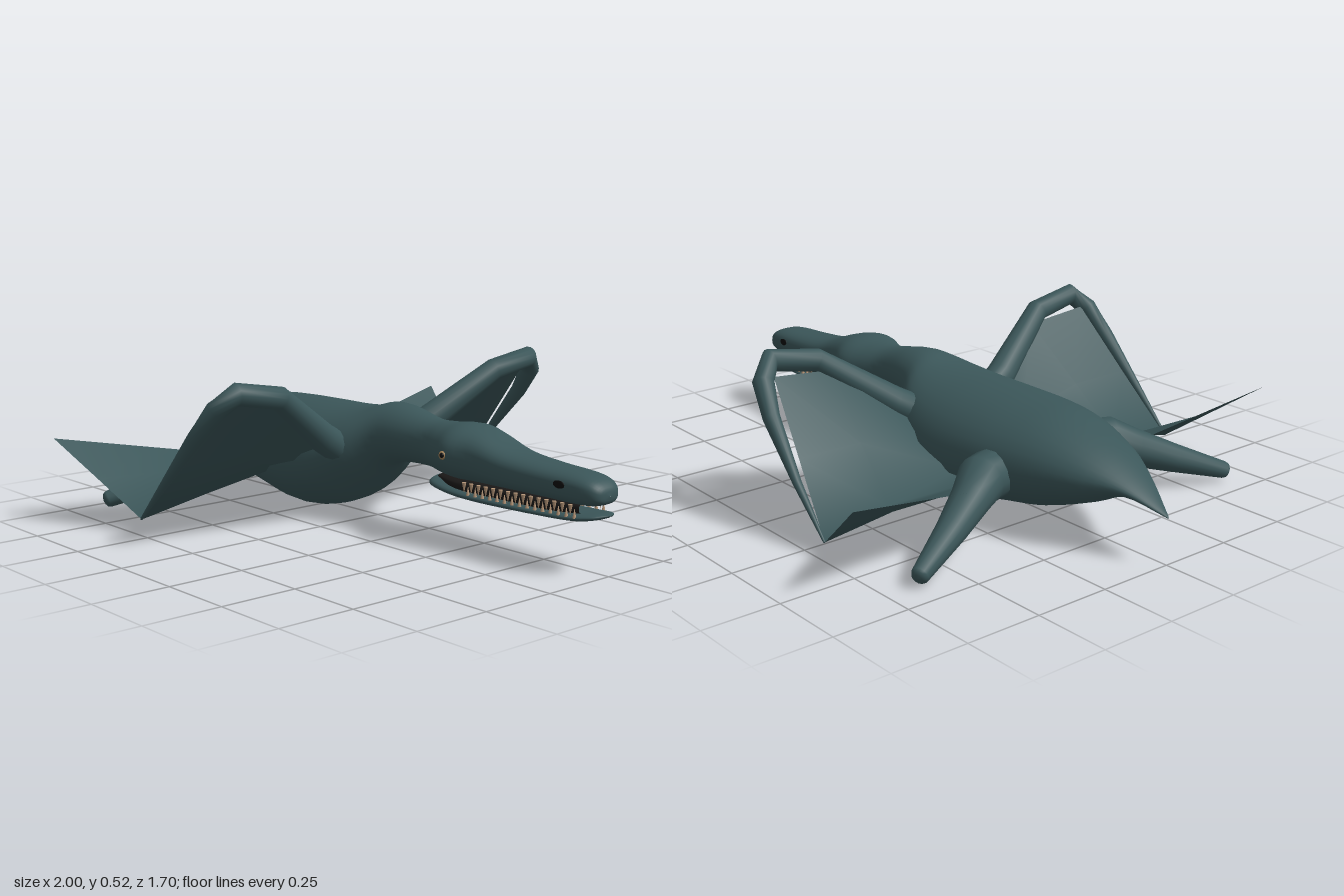
import * as THREE from 'three';

const mat = (name, color, side = THREE.FrontSide) => {
  const m = new THREE.MeshStandardMaterial({ color, side });
  m.name = name;
  return m;
};

// Skin a list of point rows; closed rows wrap round into a tube
function skin(rows, closed) {
  const n = rows[0].length, pos = [], idx = [];
  rows.forEach(r => r.forEach(p => pos.push(p.x, p.y, p.z)));
  for (let i = 0; i < rows.length - 1; i++) {
    for (let j = 0; j < (closed ? n : n - 1); j++) {
      const k = (j + 1) % n, a = i * n + j, b = a + n, c = i * n + k, d = c + n;
      idx.push(a, b, c, b, d, c);
    }
  }
  const g = new THREE.BufferGeometry();
  g.setAttribute('position', new THREE.Float32BufferAttribute(pos, 3));
  g.setIndex(idx);
  g.computeVertexNormals();
  return g;
}

// Loft along x through sections [x, top, bottom, halfWidth]
function loft(sections, steps, power, sides = 28) {
  const curve = f => new THREE.CatmullRomCurve3(sections.map(f), false, 'catmullrom', 0.5);
  const outline = curve(s => new THREE.Vector3(s[0], s[1], s[2]));
  const width = curve(s => new THREE.Vector3(s[3], 0, 0));
  const bend = (v, p) => Math.sign(v) * Math.abs(v) ** p;
  const rows = [];
  for (let i = 0; i <= steps; i++) {
    const o = outline.getPoint(i / steps), w = Math.max(width.getPoint(i / steps).x, 0.001);
    const p = power(o.x), row = [];
    for (let j = 0; j < sides; j++) {
      const a = j / sides * Math.PI * 2;
      row.push(new THREE.Vector3(o.x, (o.y + o.z) / 2 + (o.y - o.z) / 2 * bend(Math.sin(a), p), w * bend(Math.cos(a), p)));
    }
    rows.push(row);
  }
  return skin(rows, true);
}

// Tapered limb through joints [x, y, z, radius] with rounded ends
function limb(joints, side, sides = 14) {
  const pts = joints.map(j => new THREE.Vector3(j[0], j[1], j[2] * side));
  const up = new THREE.Vector3(0, 1, 0), rows = [], last = pts.length - 1;
  const ring = (p, t, r) => {
    const u = t.clone().cross(up).normalize(), v = u.clone().cross(t), row = [];
    for (let j = 0; j < sides; j++) {
      const a = j / sides * Math.PI * 2;
      row.push(p.clone().addScaledVector(u, r * Math.cos(a)).addScaledVector(v, r * Math.sin(a)));
    }
    rows.push(row);
  };
  pts.forEach((p, i) => {
    const t = pts[Math.min(i + 1, last)].clone().sub(pts[Math.max(i - 1, 0)]).normalize();
    const r = joints[i][3];
    const cap = (a, s) => ring(p.clone().addScaledVector(t, s * r * 0.6 * Math.cos(a)), t, Math.max(r * Math.sin(a), 0.0005));
    if (i === 0) [0, 0.5, 1].forEach(a => cap(a, -1));
    ring(p, t, r);
    if (i === last) [1, 0.5, 0].forEach(a => cap(a, 1));
  });
  return skin(rows, true);
}

export function createModel() {
  const hide = mat('slate hide', 0x3b5659);
  const web = mat('slate membrane', 0x3b5659, THREE.DoubleSide);
  const ivory = mat('tooth ivory', 0xb8987a);
  const amber = mat('eye amber', 0xa8875c);
  const black = mat('black', 0x0c0c0c);
  const dark = mat('mouth dark', 0x1b1918);

  const model = new THREE.Group();
  const add = (name, geometry, material, parent = model) => {
    const m = new THREE.Mesh(geometry, material);
    m.name = name;
    parent.add(m);
    return m;
  };

  // Tail, torso, neck and upper head in one smooth skin
  const bodySections = [
    [-1, 0.153, 0.149, 0.002], [-0.87, 0.235, 0.18, 0.07], [-0.74, 0.30, 0.125, 0.145],
    [-0.58, 0.35, 0.065, 0.205], [-0.43, 0.362, 0.035, 0.24], [-0.25, 0.366, 0.004, 0.25],
    [-0.1, 0.368, 0.04, 0.232], [0, 0.378, 0.115, 0.19], [0.08, 0.398, 0.185, 0.125],
    [0.16, 0.394, 0.211, 0.1], [0.28, 0.37, 0.214, 0.078], [0.36, 0.37, 0.203, 0.102],
    [0.44, 0.376, 0.202, 0.13], [0.52, 0.36, 0.204, 0.105], [0.64, 0.32, 0.205, 0.09],
    [0.78, 0.304, 0.205, 0.082], [0.9, 0.297, 0.204, 0.075], [0.96, 0.286, 0.207, 0.065],
    [0.99, 0.265, 0.218, 0.042], [0.997, 0.241, 0.239, 0.001]];
  const snoutPower = x => THREE.MathUtils.lerp(1, 0.75, THREE.MathUtils.smoothstep(x, 0.35, 0.6));
  add('body', loft(bodySections, 76, snoutPower), hide);

  // Lower jaw and the dark gap of the mouth
  add('lowerJaw', loft([
    [0.325, 0.2, 0.172, 0.03], [0.34, 0.203, 0.166, 0.085], [0.44, 0.19, 0.154, 0.1],
    [0.56, 0.181, 0.148, 0.092], [0.75, 0.178, 0.15, 0.08], [0.9, 0.181, 0.156, 0.072],
    [0.97, 0.186, 0.168, 0.05], [1, 0.184, 0.182, 0.001]], 32, () => 0.85), hide);
  add('mouth', loft([
    [0.34, 0.207, 0.185, 0.05], [0.45, 0.212, 0.172, 0.085], [0.6, 0.213, 0.17, 0.077],
    [0.8, 0.213, 0.17, 0.068], [0.92, 0.213, 0.176, 0.045]], 12, () => 0.7), dark);

  // Wing sheet: leading, folded and trailing rows, each from root to outer edge
  const sheet = [
    [[0, 0.26, 0.17], [0.05, 0.425, 0.42], [0.04, 0.45, 0.65]],
    [[-0.15, 0.19, 0.2], [-0.14, 0.245, 0.46], [-0.14, 0.247, 0.687]],
    [[-0.3, 0.145, 0.2], [-0.31, 0.095, 0.48], [-0.32, 0.046, 0.725]],
    [[-0.42, 0.145, 0.19], [-0.45, 0.155, 0.49], [-0.48, 0.163, 0.787]],
    [[-0.53, 0.15, 0.17], [-0.585, 0.215, 0.51], [-0.64, 0.28, 0.85]]];

  for (const side of [1, -1]) {
    const label = side > 0 ? 'left' : 'right';
    const half = new THREE.Group();
    half.name = label + 'Side';
    model.add(half);

    // Wing
    add(label + 'WingArm', limb([
      [-0.03, 0.25, 0.15, 0.052], [-0.01, 0.295, 0.23, 0.05], [0.075, 0.46, 0.47, 0.038],
      [0.082, 0.49, 0.635, 0.036], [0.045, 0.44, 0.685, 0.034], [-0.03, 0.35, 0.708, 0.027],
      [-0.18, 0.19, 0.722, 0.014], [-0.32, 0.048, 0.726, 0.004]], side), hide, half);
    add(label + 'WingMembrane', skin(sheet.map(r => r.map(p => new THREE.Vector3(p[0], p[1], p[2] * side))), false), web, half);

    // Hind leg
    add(label + 'HindLeg', limb([
      [-0.45, 0.18, 0.15, 0.08], [-0.49, 0.18, 0.27, 0.078], [-0.53, 0.15, 0.345, 0.062],
      [-0.59, 0.102, 0.47, 0.047], [-0.662, 0.04, 0.64, 0.028]], side), hide, half);

    // Eye with pupil
    const eye = add(label + 'Eye', new THREE.SphereGeometry(0.016, 14, 10), amber, half);
    eye.position.set(0.44, 0.291, 0.12 * side);
    const pupil = add(label + 'Pupil', new THREE.SphereGeometry(0.009, 12, 8), black, half);
    pupil.position.set(0.443, 0.292, 0.129 * side);

    // Nostril
    const nostril = add(label + 'Nostril', new THREE.SphereGeometry(1, 14, 8), black, half);
    nostril.scale.set(0.022, 0.012, 0.005);
    nostril.position.set(0.868, 0.264, 0.0755 * side);

    // Interlocking teeth along both jaws
    for (let i = 0; i < 15; i++) {
      const x = 0.5 + i * 0.029, z = THREE.MathUtils.lerp(0.091, 0.066, i / 14) * side;
      const upper = add(label + 'UpperTooth', new THREE.ConeGeometry(0.007, 0.034, 7), ivory, half);
      upper.position.set(x, 0.194, z);
      upper.rotation.x = Math.PI;
      const lower = add(label + 'LowerTooth', new THREE.ConeGeometry(0.006, 0.03, 7), ivory, half);
      lower.position.set(x + 0.0145, 0.187, z * 0.97);
    }
  }
  return model;
}
